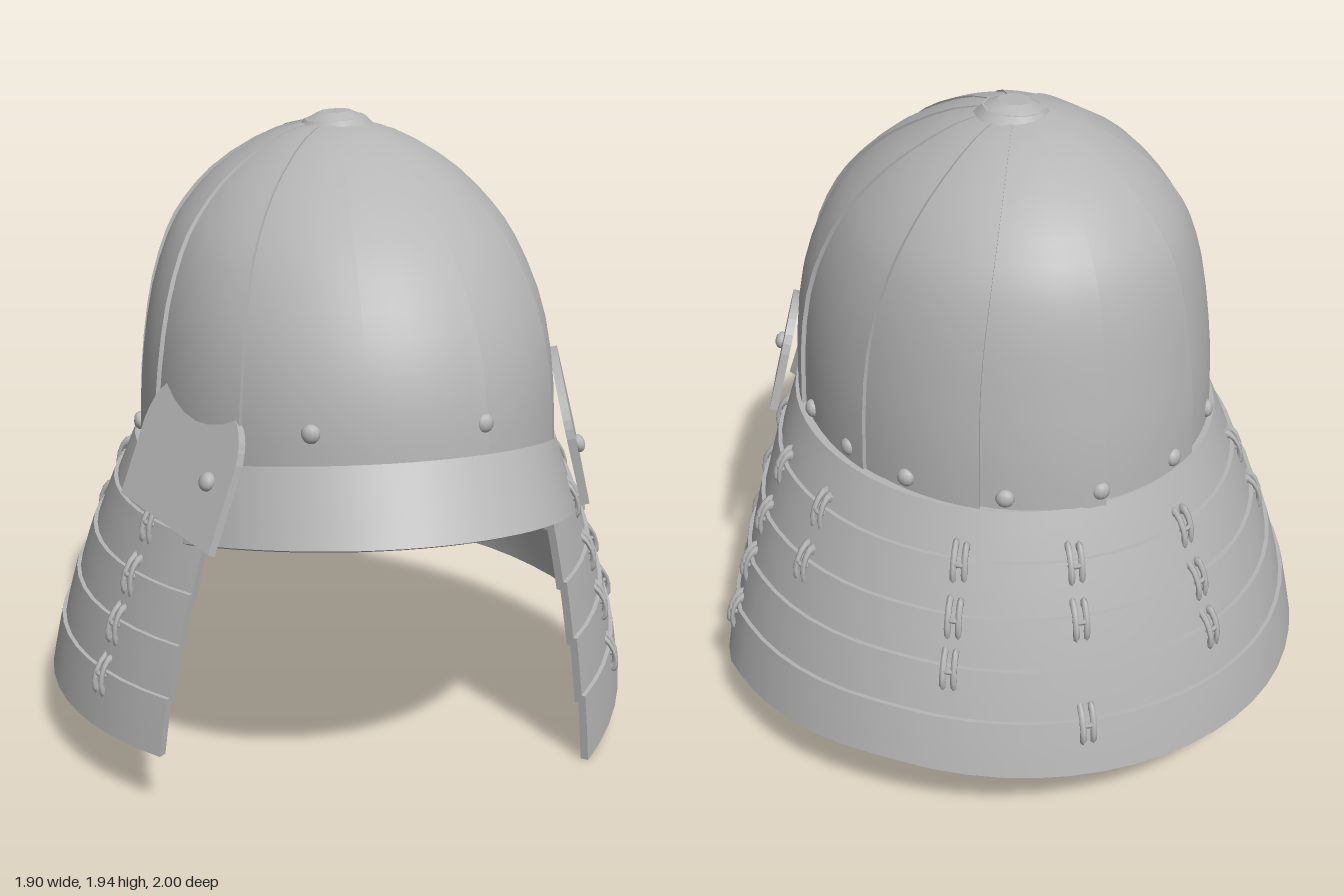
import * as THREE from 'three';
import { mergeGeometries } from 'three/addons/utils/BufferGeometryUtils.js';

const V3 = (x, y, z) => new THREE.Vector3(x, y, z);
const rad = THREE.MathUtils.degToRad;
const steel = new THREE.MeshStandardMaterial({ color: 0xb6b6b6, side: THREE.DoubleSide });
steel.name = 'steel';

// Grid surface from a rule fn(u, v) -> Vector3
function surface(fn, nu, nv) {
  const pos = [], index = [];
  for (let i = 0; i <= nu; i++) for (let j = 0; j <= nv; j++) pos.push(...fn(i / nu, j / nv).toArray());
  for (let i = 0; i < nu; i++) for (let j = 0; j < nv; j++) {
    const a = i * (nv + 1) + j, b = a + nv + 1;
    index.push(a, a + 1, b, b, a + 1, b + 1);
  }
  const g = new THREE.BufferGeometry();
  g.setAttribute('position', new THREE.Float32BufferAttribute(pos, 3));
  g.setIndex(index);
  g.computeVertexNormals();
  return g;
}

// Closed sheet between an outer and an inner rule
function slab(fn, thickness, nu, nv) {
  const outer = (u, v) => fn(u, v, 0), inner = (u, v) => fn(u, v, -thickness);
  const across = (u, v, t) => outer(u, v).lerp(inner(u, v), t);
  return mergeGeometries([
    surface(outer, nu, nv), surface(inner, nu, nv),
    surface((u, t) => across(u, 0, t), nu, 1), surface((u, t) => across(u, 1, t), nu, 1),
    surface((v, t) => across(0, v, t), nv, 1), surface((v, t) => across(1, v, t), nv, 1),
  ]);
}

// Bowl: elliptical rings whose centre drifts backwards towards the crown
const bowlProfile = new THREE.SplineCurve([
  [1, 0.94], [0.985, 1.18], [0.93, 1.4], [0.835, 1.57], [0.725, 1.68], [0.55, 1.79], [0.3, 1.885], [0.1, 1.92],
].map(([r, y]) => new THREE.Vector2(r, y)));
function bowlPoint(deg, r, y, off) {
  const a = rad(deg), k = THREE.MathUtils.smoothstep(y, 1.25, 1.95);
  return V3(-0.015 - 0.01 * k + (0.63 * r + off) * Math.sin(a), y, 0.06 - 0.11 * k + (0.77 * r + off) * Math.cos(a));
}

// Neck guard: lower edge height by angle, measured from the front towards +x
const hem = [[45, 0.01], [75, 0.1], [100, 0.19], [140, 0.25], [180, 0.22], [230, 0.18], [315, 0.2]];
function hemHeight(deg) {
  let i = 0;
  while (i < hem.length - 2 && deg > hem[i + 1][0]) i++;
  const [a0, y0] = hem[i], [a1, y1] = hem[i + 1];
  return THREE.MathUtils.mapLinear(deg, a0, a1, y0, y1);
}
function guardPoint(deg, f, off) {
  const a = rad(deg), g = 1.35 * f - 0.35 * f * f;
  const k = deg < 90 ? 1 - 0.085 * g * Math.sqrt(Math.cos(a)) : 1;
  return V3(
    -0.012 * (1 - g) + ((0.64 + 0.31 * g) * k + off) * Math.sin(a),
    THREE.MathUtils.lerp(0.97, hemHeight(deg), f),
    0.03 - 0.06 * g + ((0.735 + 0.235 * g) * k + off) * Math.cos(a));
}

export function createModel() {
  const model = new THREE.Group();
  const add = (name, geometry, parent = model) => {
    const m = new THREE.Mesh(geometry, steel);
    m.name = name;
    parent.add(m);
    return m;
  };

  // Bowl plates, each lapping over its neighbour
  const plates = 11, step = 360 / plates;
  for (let i = 0; i < plates; i++) {
    add('bowlPlate', slab((u, v, off) => {
      const p = bowlProfile.getPoint(v);
      return bowlPoint(-11 + (i + u * 1.03) * step, p.x, p.y + off * v, 0.014 * u + off * (1 - v));
    }, 0.02, 7, 16));
  }

  // Upright lower wall of the bowl, inside the neck guard
  add('bowlLowerWall', slab((u, v, off) =>
    bowlPoint(62 + 236 * u, 1, THREE.MathUtils.lerp(0.95, 0.8, v), off), 0.02, 36, 1));

  // Crown fitting
  const crown = new THREE.Group();
  crown.name = 'crownFitting';
  crown.position.set(-0.02, 1.918, -0.05);
  crown.rotation.z = 0.06;
  model.add(crown);
  add('crownRing', new THREE.CylinderGeometry(0.095, 0.118, 0.026, 10), crown);
  add('crownCap', new THREE.CylinderGeometry(0.05, 0.09, 0.02, 10), crown).position.y = 0.022;

  // Brow visor
  add('visor', slab((u, v, off) => {
    const s = u * 2 - 1, a = rad(59 * s);
    return V3(
      -0.01 + (0.64 + 0.05 * v + off) * Math.sin(a),
      THREE.MathUtils.lerp(1.12 - 0.09 * s * s, 0.93 - 0.11 * s * s, v) + off * 0.5,
      0.06 + (0.79 + 0.15 * v + off) * Math.cos(a));
  }, 0.025, 24, 3));

  // Neck guard bands
  const rows = [0, 0.21, 0.41, 0.6, 0.8, 1];
  for (let i = 0; i < 5; i++) {
    const top = Math.max(0, rows[i] - 0.03), bottom = rows[i + 1];
    add('neckGuardBand', slab((u, v, off) =>
      guardPoint(46 + 267 * u, top + (bottom - top) * v, 0.014 * (1 - v) + off), 0.025, 44, 3));
  }

  // Lacing over the joints of the bands
  const cord = new THREE.TorusGeometry(0.03, 0.01, 6, 12).rotateY(Math.PI / 2).scale(1, 1.75, 0.75);
  const lacing = mergeGeometries([
    cord.clone().rotateX(0.08).translate(0.016, 0, 0),
    cord.clone().rotateX(-0.08).translate(-0.016, 0.004, 0),
    new THREE.TorusGeometry(0.018, 0.008, 5, 10).rotateX(Math.PI / 2).translate(0, 0, 0.008),
  ]);
  const columns = [
    [65, [1, 2, 3, 4]], [92, [1, 2, 3, 4]], [113, [1, 2]], [151, [1, 2, 3]],
    [177, [1, 2, 4]], [207, [1, 2, 3]], [245, [1, 2]], [295, [1, 2, 3, 4]],
  ];
  for (const [deg, joints] of columns) for (const j of joints) {
    const m = add('lacing', lacing);
    m.position.copy(guardPoint(deg, rows[j] - 0.01, 0));
    m.rotation.set(-0.35, rad(deg), 0, 'YXZ');
  }

  // Rivets around the bowl
  const rivet = new THREE.SphereGeometry(0.028, 10, 8).scale(1, 1, 0.7);
  for (const [deg, y] of [[-24, 1.19], [22, 1.19], [96, 1.01], [115, 1.01], [134, 1.01], [160, 1.01],
    [185, 1.01], [210, 1.01], [235, 1.01], [262, 1.01]]) {
    const m = add('bowlRivet', rivet);
    m.position.copy(bowlPoint(deg, y > 1.1 ? 0.985 : 1, y, 0.006));
    m.rotation.y = rad(deg);
  }

  // Side plates with rounded tops: back corner, front corner and rise
  const outline = new THREE.Shape();
  outline.moveTo(0, 0);
  outline.lineTo(1, 0);
  outline.lineTo(1, 0.62);
  outline.bezierCurveTo(0.97, 0.9, 0.75, 1, 0.5, 1);
  outline.bezierCurveTo(0.25, 1, 0.03, 0.9, 0, 0.55);
  outline.closePath();
  function sidePlate(name, back, front, rise) {
    const along = front.clone().sub(back);
    const normal = along.clone().cross(rise).normalize();
    const geometry = new THREE.ExtrudeGeometry(outline, { depth: 0.025, bevelEnabled: false, curveSegments: 10 });
    geometry.translate(0, 0, -0.0125);
    geometry.applyMatrix4(new THREE.Matrix4().makeBasis(along, rise, normal).setPosition(back));
    add(name, geometry);
    const m = add(name + 'Rivet', rivet);
    const outward = normal.clone().multiplyScalar(Math.sign(normal.x * back.x));
    m.position.copy(back).addScaledVector(along, 0.8).addScaledVector(rise, 0.42).addScaledVector(outward, 0.018);
    m.quaternion.setFromUnitVectors(V3(0, 0, 1), outward);
  }
  sidePlate('leftSidePlate', V3(0.715, 0.945, 0.11), V3(0.62, 0.83, 0.52), V3(-0.09, 0.34, 0.01));
  sidePlate('rightSidePlate', V3(-0.74, 0.91, 0.34), V3(-0.55, 0.86, 0.76), V3(0.15, 0.37, -0.11));

  return model;
}
